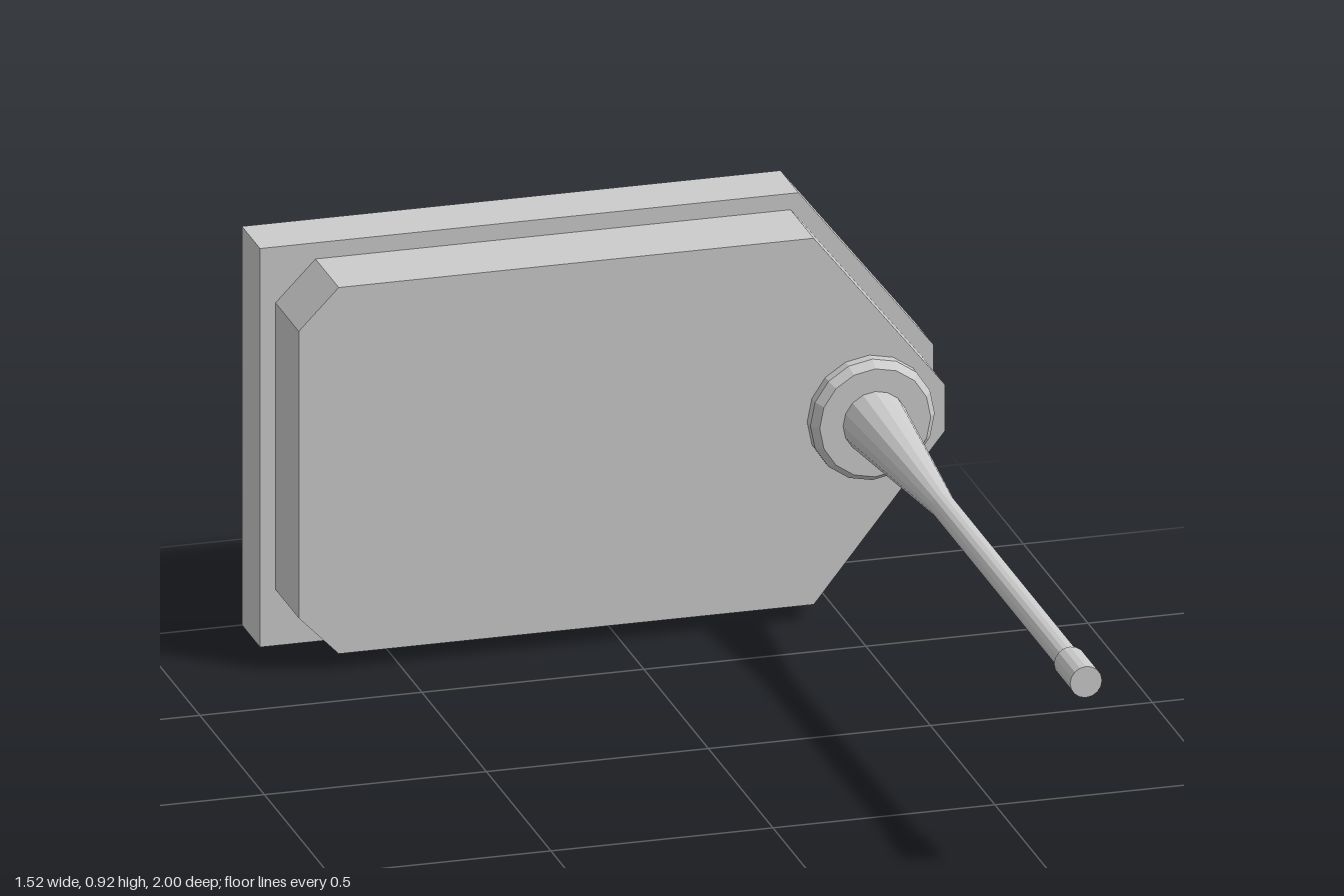
import * as THREE from 'three';

const MID_Y = 0.4615;
const ROD_X = 0.56;

export function createModel() {
  const group = new THREE.Group();
  const material = new THREE.MeshStandardMaterial({ color: 0xcccccc, flatShading: true });

  const add = (name, geometry) => {
    const mesh = new THREE.Mesh(geometry, material);
    mesh.name = name;
    group.add(mesh);
    return mesh;
  };

  // Flat plate from the lower half of its outline, mirrored about the middle height
  const plate = (name, lower, z0, z1) => {
    const upper = lower.map(([x, y]) => [x, -y]).reverse();
    const shape = new THREE.Shape([...lower, ...upper].map(([x, y]) => new THREE.Vector2(x, MID_Y + y)));
    const geometry = new THREE.ExtrudeGeometry(shape, { depth: z1 - z0, bevelEnabled: false });
    add(name, geometry.translate(0, 0, z0));
  };

  // Turned part along z from [radius, z] pairs, back to front
  const turned = (name, profile) => {
    const points = profile.map(([r, z]) => new THREE.Vector2(r, z));
    const geometry = new THREE.LatheGeometry(points, 16).rotateX(Math.PI / 2);
    add(name, geometry).position.set(ROD_X, MID_Y, 0);
  };

  // Pointed housing: wide back plate and smaller front plate
  plate('backPlate', [[-0.76, -0.4615], [0.453, -0.4615], [0.757, -0.077]], -1, -0.86);
  plate('frontPlate', [[-0.725, -0.332], [-0.635, -0.424], [0.435, -0.424], [0.73, -0.054]], -0.86, -0.68);

  // Chamfered collar, tapered rod and tip
  turned('collar', [[0, -0.68], [0.14, -0.68], [0.14, -0.655], [0.125, -0.634], [0, -0.634]]);
  turned('rod', [[0, -0.64], [0.073, -0.64], [0.028, -0.11], [0.028, 0.88]]);
  turned('tip', [[0, 0.875], [0.036, 0.875], [0.036, 1], [0, 1]]);

  return group;
}
